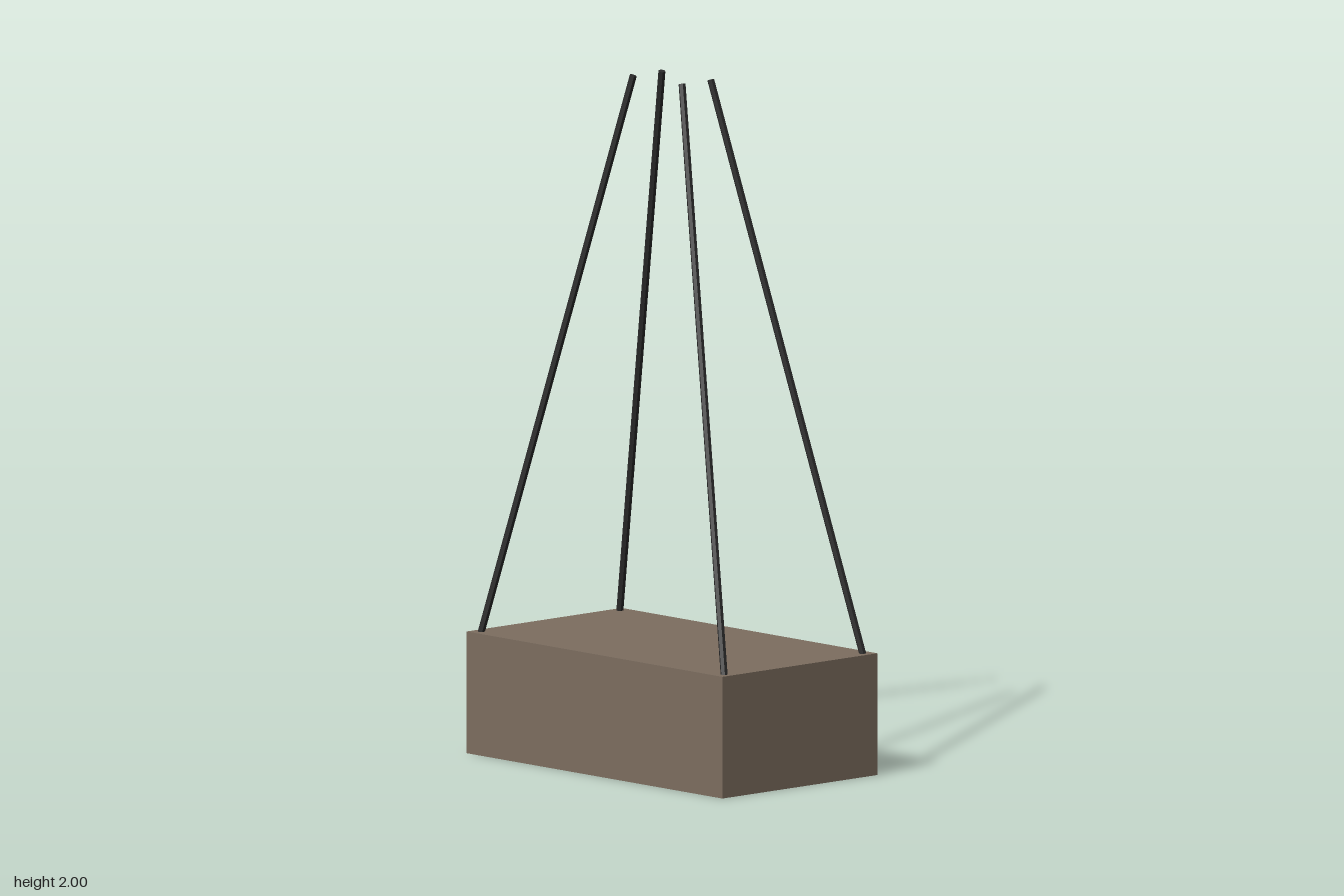
import * as THREE from 'three';

export function createModel() {
  const group = new THREE.Group();
  const crateBrown = new THREE.MeshStandardMaterial({ color: 0x7d6e60, flatShading: true });
  const ropeBlack = new THREE.MeshStandardMaterial({ color: 0x2b2b2b, flatShading: true });

  // Solid load hanging at the bottom
  const crate = new THREE.Mesh(new THREE.BoxGeometry(1.08, 0.354, 0.606), crateBrown);
  crate.name = 'crate';
  crate.position.y = 0.177;
  group.add(crate);

  // Four slanted ropes from the crate corners towards the hoist point
  const up = new THREE.Vector3(0, 1, 0);
  for (const sx of [-1, 1]) {
    for (const sz of [-1, 1]) {
      const bottom = new THREE.Vector3(sx * 0.513, 0.352, sz * 0.271);
      const top = new THREE.Vector3(sx * 0.103, 1.997, sz * 0.056);
      const direction = top.clone().sub(bottom);
      const rope = new THREE.Mesh(
        new THREE.CylinderGeometry(0.0105, 0.0105, direction.length(), 6), ropeBlack);
      rope.name = (sz > 0 ? 'front' : 'back') + (sx > 0 ? 'Left' : 'Right') + 'Rope';
      rope.position.addVectors(bottom, top).multiplyScalar(0.5);
      rope.quaternion.setFromUnitVectors(up, direction.normalize());
      group.add(rope);
    }
  }
  return group;
}
